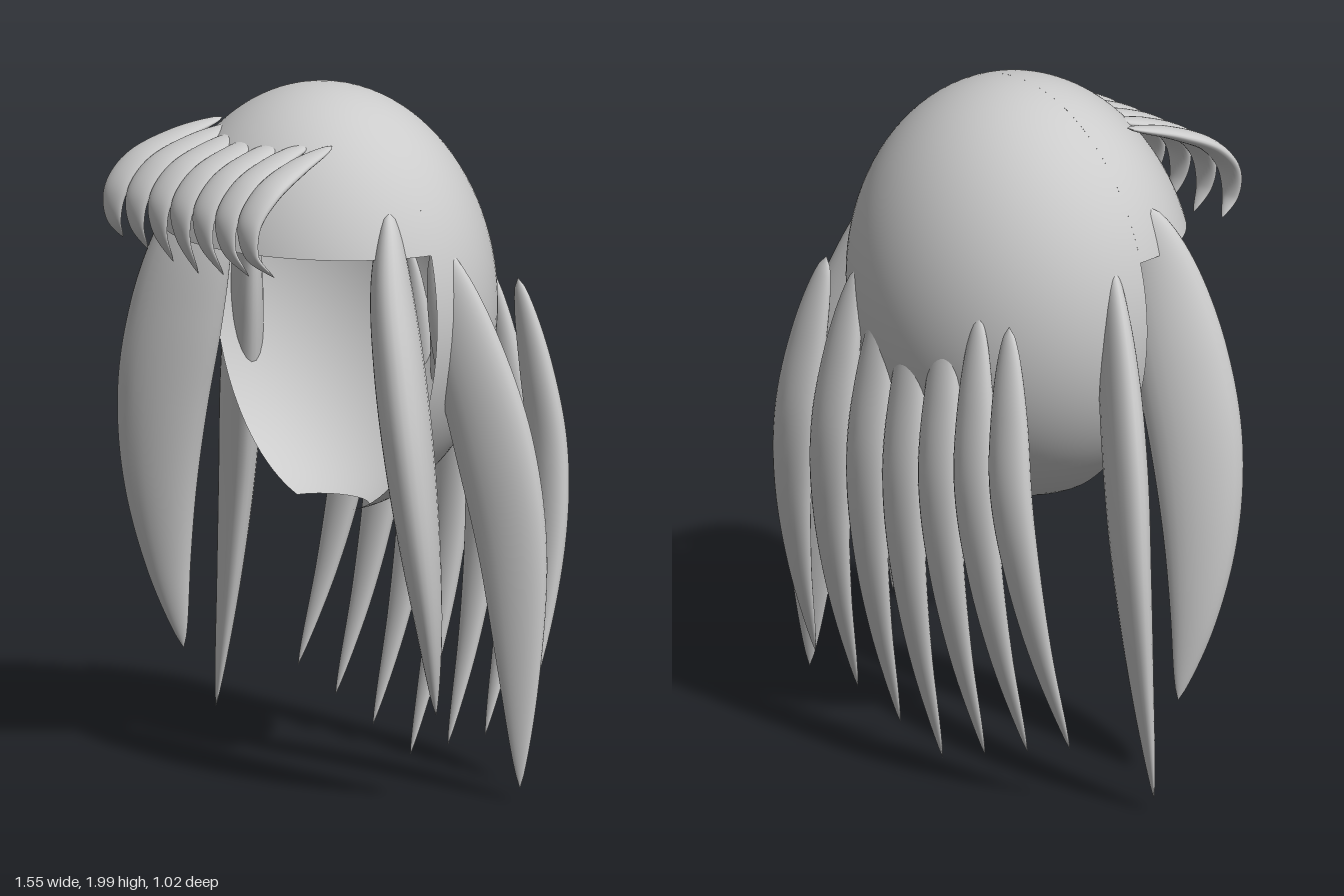
import * as THREE from 'three';

const material = new THREE.MeshStandardMaterial({ color: 0xcccccc, side: THREE.DoubleSide });

// A lock of hair: an elliptical section swept along a curve, pointed at both ends.
// a, b are the half width and half thickness; tilt turns the width about y.
function lock(name, points, a, b, tilt = 0) {
  const curve = new THREE.CatmullRomCurve3(points.map(p => new THREE.Vector3(...p)));
  const rings = 48, sides = 24, pos = [], index = [];
  const dir = new THREE.Vector3(Math.cos(tilt), 0, Math.sin(tilt));
  for (let i = 0; i <= rings; i++) {
    const t = i / rings;
    const s = Math.max(0.001, Math.sin(Math.PI * t ** 0.75)) ** 0.75;
    const c = curve.getPoint(t), T = curve.getTangent(t);
    const W = dir.clone().addScaledVector(T, -dir.dot(T)).normalize();
    const N = T.clone().cross(W);
    for (let j = 0; j < sides; j++) {
      const u = j / sides * Math.PI * 2;
      const p = c.clone().addScaledVector(W, a * s * Math.cos(u)).addScaledVector(N, b * s * Math.sin(u));
      pos.push(p.x, p.y, p.z);
      if (i < rings) {
        const k = i * sides + j, k1 = i * sides + (j + 1) % sides;
        index.push(k, k1, k + sides, k1, k1 + sides, k + sides);
      }
    }
  }
  const geo = new THREE.BufferGeometry();
  geo.setAttribute('position', new THREE.Float32BufferAttribute(pos, 3));
  geo.setIndex(index);
  geo.computeVertexNormals();
  const mesh = new THREE.Mesh(geo, material);
  mesh.name = name;
  return mesh;
}

// Part of the ellipsoidal scalp shell
function shell(name, phiStart, lowerY) {
  const geo = new THREE.SphereGeometry(1, 48, 48, phiStart, Math.PI, 0, Math.acos((lowerY - 1.38) / 0.62));
  geo.scale(0.54, 0.62, 0.465).translate(0, 1.38, -0.02);
  const mesh = new THREE.Mesh(geo, material);
  mesh.name = name;
  return mesh;
}

export function createModel() {
  const model = new THREE.Group();
  model.name = 'wig';

  // Scalp: full back half, short cap over the forehead
  model.add(shell('scalpBack', Math.PI, 0.78), shell('scalpFront', 0, 1.58));

  // Seven fringe locks and seven back locks
  const fringe = [[0.15, 1.88, 0.088], [0.3, 1.835, 0.097], [0.42, 1.775, 0.105],
    [0.485, 1.695, 0.108], [0.49, 1.61, 0.112]];
  const back = [[-0.415, 0, 0.13], [-0.45, 0.2, 0.143], [-0.47, 0.38, 0.153],
    [-0.455, 0.56, 0.163], [-0.405, 0.77, 0.172], [-0.32, 1, 0.181]];
  for (let i = -3; i <= 3; i++) {
    const path = fringe.map(([z, y, x], k) => [x * i + (k === 4 ? 0.01 : 0), y, z]);
    path.push([0.122 * i + 0.03, 1.505 + 0.016 * Math.abs(i), 0.45]);
    model.add(lock('fringeLock', path, 0.057, 0.021));

    const length = 1.44 - 0.058 * Math.abs(i);
    model.add(lock('backLock', back.map(([z, s, x]) => [x * i, 1.45 - s * length, z]), 0.078, 0.042));
  }

  // Two long locks on each side
  const sideFront = [[0.43, 1.71, 0.07], [0.475, 1.5, 0.095], [0.54, 1.26, 0.112],
    [0.595, 1.02, 0.118], [0.627, 0.77, 0.105], [0.632, 0.52, 0.075], [0.61, 0.265, 0.035]];
  const sideBack = [[0.45, 1.6, -0.085], [0.53, 1.32, -0.125], [0.61, 1.03, -0.168],
    [0.665, 0.74, -0.193], [0.702, 0.41, -0.19], [0.735, 0.05, -0.17]];
  for (const side of [1, -1]) {
    const mirror = path => path.map(([x, y, z]) => [x * side, y, z]);
    model.add(lock('sideFrontLock', mirror(sideFront), 0.14, 0.075, 0.65 * side));
    model.add(lock('sideBackLock', mirror(sideBack), 0.128, 0.055, -0.42 * side));
  }
  return model;
}
